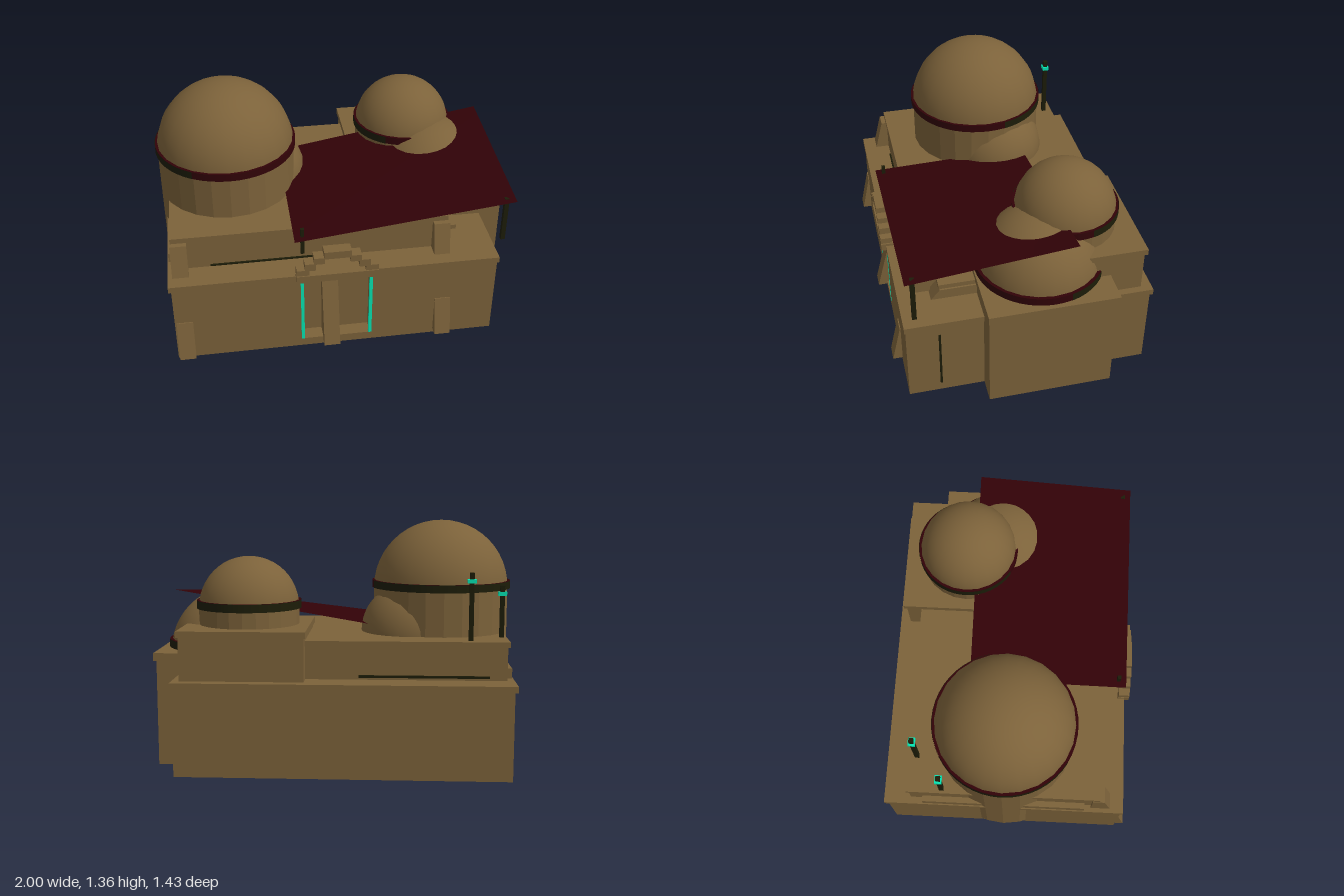
import * as THREE from 'three';

const mat = (name, color, side = THREE.FrontSide) => {
  const m = new THREE.MeshStandardMaterial({ color, side });
  m.name = name;
  return m;
};

export function createModel() {
  const root = new THREE.Group();
  root.name = 'domedDesertHouse';
  const clay = mat('clay', 0x7c623a);
  const red = mat('darkRed', 0x310207, THREE.DoubleSide);
  const olive = mat('darkOlive', 0x1c1c08, THREE.DoubleSide);
  const teal = mat('teal', 0x04e4b2);
  // Clay walls with a dark underside
  const ground = [clay, clay, clay, olive, clay, clay];

  const add = (name, geo, material, parent = root) => {
    const m = new THREE.Mesh(geo, material);
    m.name = name;
    parent.add(m);
    return m;
  };
  // Box given by its limits on each axis
  const box = (name, x0, x1, y0, y1, z0, z1, material = clay) => {
    const m = add(name, new THREE.BoxGeometry(x1 - x0, y1 - y0, z1 - z0), material);
    m.position.set((x0 + x1) / 2, (y0 + y1) / 2, (z0 + z1) / 2);
  };
  const pole = (name, x, z, y0, y1, r = 0.012) =>
    box(name, x - r, x + r, y0, y1, z - r, z + r, olive);
  // Side profile of [z, y] points, extruded across x
  const wedge = (name, cx, width, pts) => {
    const shape = new THREE.Shape(pts.map(p => new THREE.Vector2(...p)));
    const m = add(name, new THREE.ExtrudeGeometry(shape, { depth: width, bevelEnabled: false }), clay);
    m.rotation.y = -Math.PI / 2;
    m.position.x = cx + width / 2;
  };

  // Lower storey, with a recessed doorway in front
  box('lowerWalls', -0.96, 0.85, 0, 0.48, -0.70, 0.58, ground);
  box('lowerFrontRight', -0.96, -0.25, 0, 0.48, 0.58, 0.66, ground);
  box('lowerFrontLeft', 0.135, 0.85, 0, 0.48, 0.58, 0.66, ground);
  box('doorSill', -0.25, 0.135, 0, 0.05, 0.58, 0.66, ground);
  box('lowerCornice', -0.975, 0.86, 0.48, 0.515, -0.715, 0.667);
  for (const x of [-0.25, 0.135]) box('doorLight', x - 0.009, x + 0.009, 0.05, 0.48, 0.645, 0.662, teal);
  box('sideSlit', 0.845, 0.855, 0.055, 0.425, 0.472, 0.484, olive);

  // Side wing
  box('wingWalls', 0.35, 0.985, 0, 0.6, -0.46, 0.235, ground);
  box('wingCornice', 0.34, 1.0, 0.59, 0.635, -0.473, 0.242);

  // Upper storey
  box('upperWalls', -0.935, 0.58, 0.515, 0.695, -0.56, 0.51);
  box('upperCornice', -0.947, 0.59, 0.695, 0.725, -0.57, 0.518);
  box('frontSlit', -0.74, -0.07, 0.522, 0.53, 0.505, 0.52, olive);
  box('rearSlit', -0.84, -0.14, 0.528, 0.54, -0.573, -0.557, olive);
  box('sideLedge', -0.968, -0.93, 0.515, 0.57, -0.49, 0.44);
  wedge('sideStep', 0.62, 0.1, [[0.2, 0.515], [0.49, 0.515], [0.44, 0.575], [0.2, 0.575]]);
  box('sideStepTop', 0.57, 0.66, 0.575, 0.602, 0.2, 0.445);

  // Rear block under the small dome
  box('rearBlock', 0.15, 0.82, 0.515, 0.75, -0.655, -0.01);
  box('rearBlockCornice', 0.14, 0.83, 0.75, 0.785, -0.67, 0);

  // Sloped buttresses
  for (const x of [-0.905, 0.55]) {
    wedge('lowerButtress', x, 0.09, [[0.64, 0.03], [0.715, 0.03], [0.665, 0.255], [0.64, 0.255]]);
    wedge('upperButtress', x, 0.09, [[0.48, 0.515], [0.59, 0.515], [0.545, 0.693], [0.48, 0.693]]);
  }
  wedge('doorButtress', -0.09, 0.09, [[0.57, 0.03], [0.715, 0.03], [0.6, 0.48], [0.57, 0.48]]);

  // Stepped arch above the door
  box('archBeam', -0.285, 0.17, 0.485, 0.53, 0.625, 0.694);
  const halfArch = [
    [0.155, 0.535], [0.225, 0.535], [0.225, 0.57], [0.18, 0.57], [0.18, 0.61], [0.13, 0.61],
    [0.13, 0.645], [0.075, 0.645], [0.075, 0.68]];
  const inner = [[0.07, 0.635], [0.07, 0.605], [0.12, 0.605], [0.12, 0.565], [0.155, 0.565]];
  const flip = pts => pts.map(([x, y]) => [-x, y]).reverse();
  const arch = new THREE.Shape([...halfArch, ...flip(halfArch), ...flip(inner), ...inner]
    .map(p => new THREE.Vector2(...p)));
  add('steppedArch', new THREE.ExtrudeGeometry(arch, { depth: 0.065, bevelEnabled: false }), clay)
    .position.set(-0.0575, 0, 0.629);

  // Domes: faceted drum, red ring with an olive band on part of it, smooth cap
  const dome = (name, x, z, r, drumY, ringY, ringH, domeY) => {
    const g = new THREE.Group();
    g.name = name;
    g.position.set(x, 0, z);
    root.add(g);
    if (ringY > drumY) {
      const geo = new THREE.CylinderGeometry(r, r, ringY - drumY, 24).toNonIndexed();
      geo.computeVertexNormals();
      add('drum', geo, clay, g).position.y = (ringY + drumY) / 2;
    }
    if (ringH) {
      const R = r + 0.01, y = ringY + ringH / 2;
      add('ring', new THREE.CylinderGeometry(R, R, ringH, 48), red, g).position.y = y;
      add('ringBand', new THREE.CylinderGeometry(R + 0.002, R + 0.002, ringH, 30, 1, true,
        Math.PI * 7 / 12, Math.PI * 5 / 4), olive, g).position.y = y;
    }
    add('cap', new THREE.SphereGeometry(r, 24, 12, 0, Math.PI * 2, 0, Math.PI / 2), clay, g).position.y = domeY;
  };
  dome('largeDome', -0.6, -0.028, 0.388, 0.05, 0.97, 0.043, 0.97);
  dome('smallDome', 0.485, -0.3, 0.282, 0.78, 0.875, 0.045, 0.88);
  dome('wingDome', 0.617, -0.122, 0.347, 0.635, 0.635, 0.045, 0.62);
  dome('roofDome', -0.427, -0.115, 0.285, 0.72, 0.72, 0, 0.722);

  // Twisted awning sheet, each corner at its own height
  const sheet = new THREE.PlaneGeometry(1.21, 0.905, 12, 10);
  sheet.rotateX(-Math.PI / 2);
  sheet.translate(0.32, 0, 0.202);
  const p = sheet.attributes.position;
  for (let i = 0; i < p.count; i++) {
    const u = (p.getX(i) + 0.285) / 1.21, v = (0.655 - p.getZ(i)) / 0.905;
    const front = 0.735 + 0.143 * u, back = 0.76 + 0.207 * u;
    p.setY(i, front + (back - front) * v);
  }
  sheet.computeVertexNormals();
  add('awning', sheet, red);
  pole('awningPole', -0.24, 0.61, 0.63, 0.79, 0.01);
  pole('awningPole', 0.88, 0.61, 0.607, 0.878);

  // Roof masts with lit collars
  for (const [x, z, top] of [[-0.74, -0.52, 1.09], [-0.92, -0.37, 1.01]]) {
    pole('mast', x, z, 0.72, top);
    box('mastCollar', x - 0.023, x + 0.023, top - 0.055, top - 0.035, z - 0.019, z + 0.019, teal);
  }
  return root;
}
